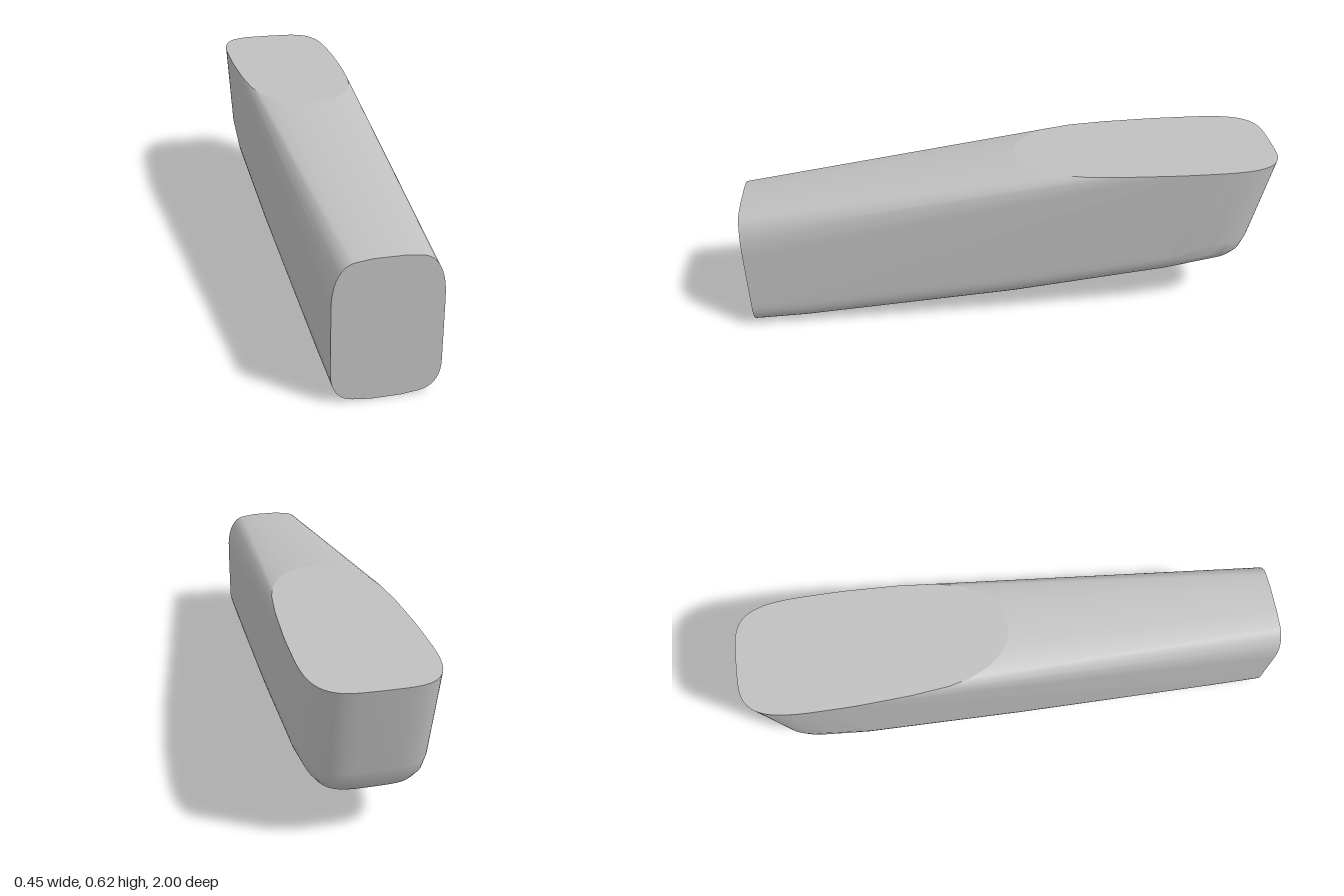
import * as THREE from 'three';
import { ConvexGeometry } from 'three/addons/geometries/ConvexGeometry.js';
import { mergeVertices } from 'three/addons/utils/BufferGeometryUtils.js';

const TOP = 0.625;
const spow = (v, e) => Math.sign(v) * Math.pow(Math.abs(v), e);

export function createModel() {
  const group = new THREE.Group();
  const grey = new THREE.MeshStandardMaterial({ color: 0xc0c0c0 });
  grey.name = 'plain grey';

  const points = [];
  // the body leans very slightly to its right toward the front
  const add = (x, y, z) => points.push(new THREE.Vector3(x - 0.003 - 0.002 * z, y, z));

  // rounded corner arc from the side (hw, ySide) to the flat edge (flat, yEdge)
  const corner = (hw, flat, ySide, yEdge, z, n = 10) => {
    for (let i = 0; i <= n; i++) {
      const a = (i / n) * Math.PI / 2;
      const x = flat + (hw - flat) * spow(Math.cos(a), 0.85);
      const y = ySide + (yEdge - ySide) * spow(Math.sin(a), 0.85);
      for (const s of [-1, 1]) add(s * x, y, z);
    }
  };

  // front end outline: gently domed top and bottom edges
  corner(0.179, 0.09, 0.33, 0.488, 1);
  corner(0.179, 0.09, 0.11, 0.006, 1);
  for (const x of [-0.05, 0, 0.05]) {
    add(x, 0.494, 1);
    add(x, 0, 1);
  }

  // underside corners along the length
  for (const [z, hw, y] of [[0.8, 0.184, 0.012], [0, 0.199, 0.08], [-0.6, 0.209, 0.155]])
    corner(hw, 0.09, y + 0.12, y, z);

  // flat top: tapered tongue at the front
  for (const [x, z] of [[0, -0.02], [0.05, -0.028], [0.1, -0.055], [0.145, -0.105],
    [0.18, -0.18], [0.2, -0.26], [0.214, -0.4], [0.222, -0.58]])
    for (const s of [-1, 1]) add(s * x, TOP, z);

  // rear end: rounded outlines shrinking toward the bottom
  for (const [y, hw, back] of [[TOP, 0.223, 1], [0.3, 0.207, 0.925], [0.245, 0.197, 0.905],
    [0.212, 0.175, 0.882], [0.192, 0.145, 0.855], [0.18, 0.11, 0.81]])
    for (let i = 0; i <= 32; i++) {
      const a = (i / 32) * Math.PI;
      add(hw * spow(Math.cos(a), 0.5), y, -0.64 - (back - 0.64) * spow(Math.sin(a), 0.5));
    }

  // wrap the outlines in a skin, then separate the two flat faces from the smooth body
  const skin = new ConvexGeometry(points).getAttribute('position');
  const faces = { body: [], topFace: [], frontFace: [] };
  const v = new THREE.Vector3();
  for (let i = 0; i < skin.count; i += 3) {
    const tri = [0, 1, 2].map(k => v.fromBufferAttribute(skin, i + k).toArray());
    const part = tri.every(p => p[1] > TOP - 1e-4) ? 'topFace'
      : tri.every(p => p[2] > 1 - 1e-4) ? 'frontFace' : 'body';
    faces[part].push(...tri.flat());
  }
  for (const [name, data] of Object.entries(faces)) {
    let geometry = new THREE.BufferGeometry();
    geometry.setAttribute('position', new THREE.Float32BufferAttribute(data, 3));
    geometry = mergeVertices(geometry, 1e-5);
    geometry.computeVertexNormals();
    const mesh = new THREE.Mesh(geometry, grey);
    mesh.name = name;
    group.add(mesh);
  }
  return group;
}
